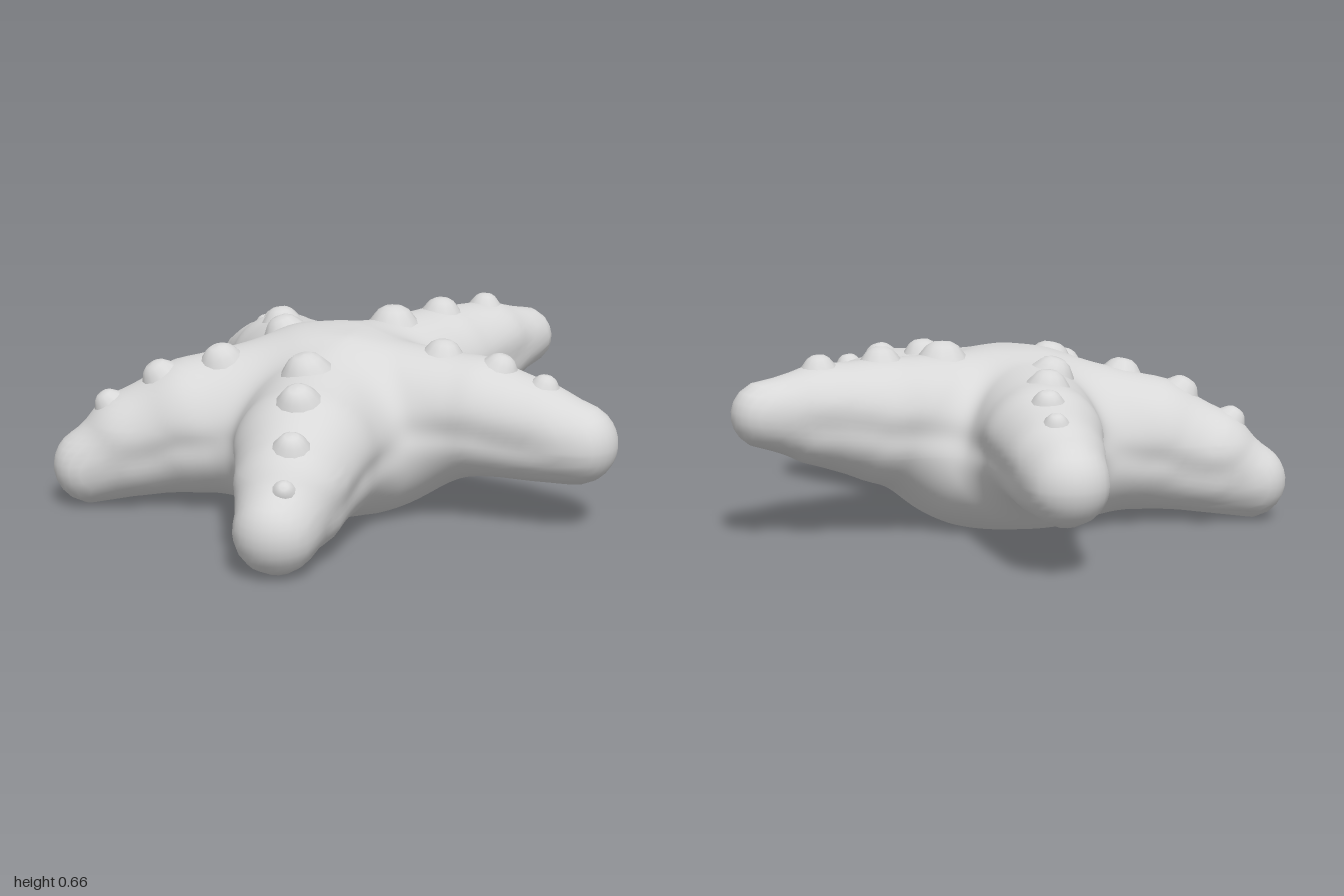
import * as THREE from 'three';

// Arm spines from body to tip: [x, y, z, radius]
const sideArm = (s) => [
  [0.12 * s, 0.345, 0.1, 0.27], [0.52 * s, 0.365, -0.075, 0.208],
  [0.72 * s, 0.335, -0.16, 0.172], [0.858 * s, 0.31, -0.21, 0.142],
];
const frontArm = (s) => [
  [0.08 * s, 0.335, 0.2, 0.275], [0.3 * s, 0.28, 0.52, 0.245],
  [0.43 * s, 0.22, 0.69, 0.195], [0.515 * s, 0.145, 0.825, 0.14],
];
const backArm = [
  [0, 0.345, -0.02, 0.275], [-0.012, 0.405, -0.42, 0.222],
  [0, 0.445, -0.66, 0.176], [0.02, 0.46, -0.855, 0.117],
];
const ARMS = [sideArm(1), sideArm(-1), frontArm(1), frontArm(-1), backArm];
const CENTRE = [0, 0.3, 0.09];

const smoothMin = (a, b, k) => {
  const h = Math.max(k - Math.abs(a - b), 0) / k;
  return Math.min(a, b) - h * h * k * 0.25;
};

// Distance to one tapered spine segment, with a shallow groove along its sides
function segment(x, y, z, a, b, tipped) {
  const dx = b[0] - a[0], dy = b[1] - a[1], dz = b[2] - a[2];
  const px = x - a[0], py = y - a[1], pz = z - a[2];
  const t = THREE.MathUtils.clamp((px * dx + py * dy + pz * dz) / (dx * dx + dy * dy + dz * dz), 0, 1);
  const off = py - dy * t;
  const groove = 0.015 * Math.exp(-(((off + 0.02) / 0.05) ** 2)) * (tipped ? 1 - t : 1);
  return Math.hypot(px - dx * t, off, pz - dz * t) - (a[3] + (b[3] - a[3]) * t) + groove;
}

// Blended body: a broad low core, five arms and a flat underside
function field(x, y, z) {
  const ex = x / 0.48, ey = (y - 0.24) / 0.29, ez = (z - 0.12) / 0.49;
  let d = (Math.hypot(ex, ey, ez) - 1) * 0.3;
  for (const arm of ARMS) {
    let near = Infinity;
    for (let i = 0; i < 3; i++) near = smoothMin(near, segment(x, y, z, arm[i], arm[i + 1], i === 2), 0.01);
    d = smoothMin(d, near, 0.08);
  }
  return Math.max(d, 0.004 - y);
}

// Bisect for the skin along a line from an inside point
function skin(o, dir, far) {
  let lo = 0, hi = far;
  for (let i = 0; i < 22; i++) {
    const m = (lo + hi) / 2;
    if (field(o[0] + dir[0] * m, o[1] + dir[1] * m, o[2] + dir[2] * m) < 0) lo = m;
    else hi = m;
  }
  return o.map((v, i) => v + dir[i] * lo);
}

// Closed skin made of upright cross-sections around the centre
function bodyGeometry() {
  const around = 240, rows = 72, pos = [], index = [];
  for (let j = 0; j <= rows; j++) {
    const u = (j / rows) * 2 - 1;
    const phi = Math.sign(u) * Math.abs(u) ** 1.5 * Math.PI / 2;
    for (let i = 0; i < around; i++) {
      const th = (i / around) * Math.PI * 2;
      const dir = [Math.cos(phi) * Math.sin(th), Math.sin(phi), Math.cos(phi) * Math.cos(th)];
      pos.push(...skin(CENTRE, dir, 1.4));
      if (j === rows) continue;
      const a = j * around + i, b = j * around + (i + 1) % around;
      index.push(a, b, b + around, a, b + around, a + around);
    }
  }
  const g = new THREE.BufferGeometry();
  g.setAttribute('position', new THREE.Float32BufferAttribute(pos, 3));
  g.setIndex(index);
  g.computeVertexNormals();
  return g;
}

// Soft bell-shaped knob, flaring out to meet the skin
const knobProfile = [[1.25, -0.3], [1.05, 0], [0.88, 0.22], [0.68, 0.46], [0.4, 0.62], [0, 0.66]]
  .map(([r, y]) => new THREE.Vector2(r, y));

// Knobs along the arm ridges: [x, z, radius]
const KNOBS = [
  [0, -0.17, 0.1], [0, -0.42, 0.08], [0, -0.66, 0.065],
  [-0.3, 0.11, 0.085], [-0.48, -0.03, 0.08], [-0.63, -0.13, 0.06], [-0.77, -0.19, 0.045],
  [0.4, -0.03, 0.08], [0.6, -0.11, 0.07], [0.75, -0.17, 0.055],
  [0.19, 0.42, 0.095], [0.35, 0.59, 0.08], [0.48, 0.73, 0.065], [0.56, 0.83, 0.04],
  [-0.2, 0.48, 0.085], [-0.36, 0.64, 0.075], [-0.48, 0.78, 0.06],
];

export function createModel() {
  const model = new THREE.Group();
  model.name = 'starfish';
  const grey = new THREE.MeshStandardMaterial({ color: 0xd8d8d8 });
  grey.name = 'pale grey';

  const body = new THREE.Mesh(bodyGeometry(), grey);
  body.name = 'body';
  model.add(body);

  const knobs = new THREE.Group();
  knobs.name = 'knobs';
  const bell = new THREE.LatheGeometry(knobProfile, 12);
  for (const [x, z, r] of KNOBS) {
    // start inside the arm: front arms droop, the back arm rises
    const start = [x, z > 0.6 ? 0.18 : z < -0.3 ? 0.43 : 0.33, z];
    const p = skin(start, [0, 1, 0], 0.5);
    const knob = new THREE.Mesh(bell, grey);
    knob.name = 'knob';
    knob.position.set(p[0], p[1] - r * 0.08, p[2]);
    // lean with the slope of the skin
    const e = 0.02;
    const slope = (dx, dz) => skin([x + dx, start[1], z + dz], [0, 1, 0], 0.5)[1];
    const normal = new THREE.Vector3(slope(-e, 0) - slope(e, 0), 2 * e, slope(0, -e) - slope(0, e)).normalize();
    knob.quaternion.setFromUnitVectors(new THREE.Vector3(0, 1, 0), normal);
    knob.scale.setScalar(r * 0.85);
    knobs.add(knob);
  }
  model.add(knobs);
  return model;
}
